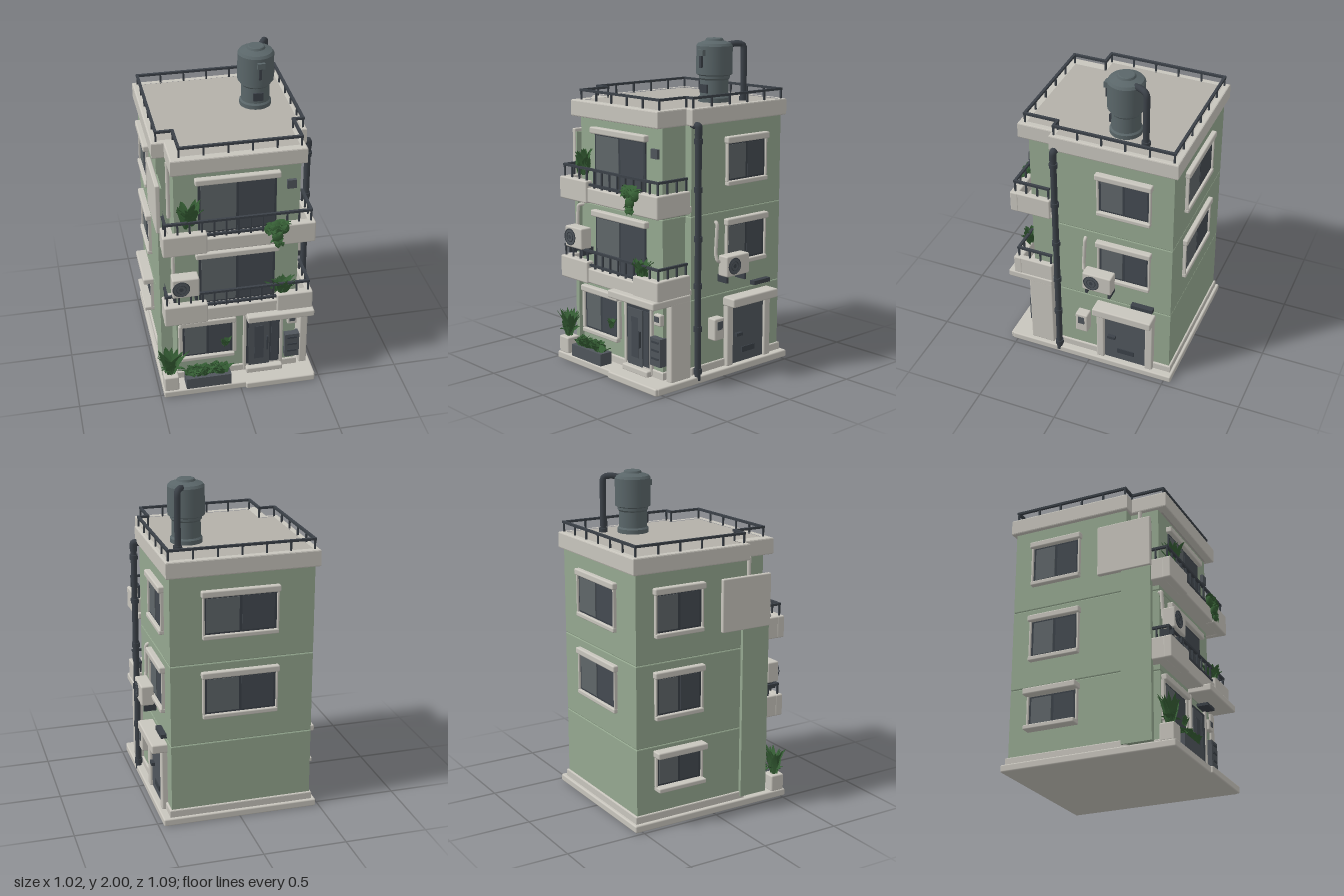
import * as THREE from 'three';
import { RoundedBoxGeometry } from 'three/addons/geometries/RoundedBoxGeometry.js';
import { mergeGeometries } from 'three/addons/utils/BufferGeometryUtils.js';

const mat = (name, color, side = THREE.FrontSide) => {
  const m = new THREE.MeshStandardMaterial({ color, side });
  m.name = name;
  return m;
};

export function createModel() {
  const root = new THREE.Group();
  root.name = 'apartmentBuilding';
  const wall = mat('green plaster', 0x95a890), trim = mat('pale concrete', 0xc8c5bd), roof = mat('roof grey', 0xb3b0a9);
  const metal = mat('dark metal', 0x3b4148), tankMat = mat('slate tank', 0x5a6669), door = mat('door grey', 0x50565c);
  const glass = mat('glass', 0x5f6669), dark = mat('dark glass', 0x444a51);
  const leafMat = mat('leaf green', 0x365f35, THREE.DoubleSide);

  const add = (name, geo, m, parent = root) => {
    const mesh = new THREE.Mesh(geo, m);
    mesh.name = name;
    parent.add(mesh);
    return mesh;
  };
  // Box given by its limits; concrete gets softened edges
  const box = (name, m, x0, x1, y0, y1, z0, z1, parent = root) => {
    const w = x1 - x0, h = y1 - y0, d = z1 - z0, r = Math.min(0.009, w / 4, h / 4, d / 4);
    const geo = m === trim ? new RoundedBoxGeometry(w, h, d, 2, r) : new THREE.BoxGeometry(w, h, d);
    geo.translate((x0 + x1) / 2, (y0 + y1) / 2, (z0 + z1) / 2);
    return add(name, geo, m, parent);
  };
  const cyl = (name, m, r, x, y0, y1, z) =>
    add(name, new THREE.CylinderGeometry(r, r, y1 - y0, 16).translate(x, (y0 + y1) / 2, z), m);
  const group = (name, x, y, z, ry = 0) => {
    const g = new THREE.Group();
    g.name = name;
    g.position.set(x, y, z);
    g.rotation.y = ry;
    root.add(g);
    return g;
  };
  const tube = (name, m, r, pts) => {
    const curve = new THREE.CatmullRomCurve3(pts.map(p => new THREE.Vector3(...p)), false, 'catmullrom', 0.2);
    return add(name, new THREE.TubeGeometry(curve, 32, r, 10), m);
  };

  // Plan outline with a narrower front bay
  const outline = (x0, x1, z0, bay0, bay1, step, z1) =>
    [[x0, z0], [x1, z0], [x1, step], [bay1, step], [bay1, z1], [bay0, z1], [bay0, step], [x0, step]];
  const plan = g => outline(-0.445 - g, 0.415 + g, -0.515 - g, -0.375 - g, 0.365 + g, 0.225 + g / 2, 0.4 + g);
  const slab = (name, m, pts, y0, y1, b, hole) => {
    const v = p => p.map(([x, z]) => new THREE.Vector2(x, -z));
    const shape = new THREE.Shape(v(pts));
    if (hole) shape.holes.push(new THREE.Path(v(hole)));
    const geo = new THREE.ExtrudeGeometry(shape, { depth: y1 - y0 - 2 * b, bevelEnabled: b > 0,
      bevelSize: b, bevelThickness: b, bevelOffset: -b, bevelSegments: 2 });
    return add(name, geo.rotateX(-Math.PI / 2).translate(0, y0 + b, 0), m);
  };

  // Base, storeys, parapet and roof
  box('plinth', trim, -0.48, 0.47, 0, 0.045, -0.545, 0.53);
  slab('baseBand', trim, plan(0.012), 0.03, 0.09, 0.006);
  [[0.06, 0.5], [0.5, 1], [1, 1.56]].forEach(([a, b], i) => slab('storey' + (i + 1), wall, plan(0), a, b, 0.006));
  box('leftFinWall', wall, -0.468, -0.438, 0.06, 1.42, 0.2, 0.385);
  const roofLine = outline(-0.44, 0.418, -0.51, -0.343, 0.36, 0.215, 0.42);
  slab('parapet', trim, outline(-0.47, 0.438, -0.54, -0.398, 0.388, 0.24, 0.458), 1.53, 1.63, 0.008, roofLine);
  slab('roofDeck', roof, roofLine, 1.53, 1.625, 0);

  // Handrail along axis-aligned points with upright bars and an optional lower rail
  const railing = (name, pts, y0, y1, gap, low) => {
    const g = group(name, 0, 0, 0), t = 0.008;
    for (let i = 0; i + 1 < pts.length; i++) {
      const [ax, az] = pts[i], [bx, bz] = pts[i + 1];
      for (const y of low ? [y1, low] : [y1])
        box('rail', metal, Math.min(ax, bx) - t, Math.max(ax, bx) + t, y - 0.014, y, Math.min(az, bz) - t, Math.max(az, bz) + t, g);
      const n = Math.max(1, Math.round(Math.hypot(bx - ax, bz - az) / gap));
      for (let k = 0; k <= n; k++) {
        const x = ax + (bx - ax) * k / n, z = az + (bz - az) * k / n;
        box('bar', metal, x - 0.005, x + 0.005, y0, y1 - 0.01, z - 0.005, z + 0.005, g);
      }
    }
  };
  railing('roofRailing', [...roofLine, roofLine[0]], 1.615, 1.695, 0.14);

  // Balconies wrapping the bay
  [[0.53, 0.665, 0.735], [1.025, 1.16, 1.238]].forEach(([y0, y1, top], i) => {
    const n = 'balcony' + (i + 1);
    box(n + 'Floor', trim, -0.45, 0.43, y0 + 0.005, y0 + 0.045, 0.23, 0.49);
    box(n + 'FrontMiddle', trim, -0.21, 0.24, y0 + 0.005, y1 - 0.04, 0.455, 0.498);
    box(n + 'FrontLeft', trim, 0.22, 0.44, y0, y1, 0.455, 0.508);
    box(n + 'FrontRight', trim, -0.46, -0.2, y0, y1, 0.455, 0.508);
    box(n + 'SideLeft', trim, 0.4, 0.438, y0, y1, 0.25, 0.5);
    box(n + 'SideRight', trim, -0.458, -0.42, y0, y1, 0.25, 0.5);
    railing(n + 'Railing', [[-0.44, 0.265], [-0.44, 0.48], [0.415, 0.48], [0.415, 0.265]], y1 - 0.04, top, 0.07, y1 - 0.015);
  });

  // Sliding window: local +z points out of the wall
  const windowUnit = (name, x, y, z, ry, w, h, jamb = 0.012, out = 0.035) => {
    const g = group(name, x, y, z, ry), a = w / 2;
    box('frame', metal, -a, a, 0, h, -0.01, 0.008, g);
    box('paneLeft', glass, -a + 0.014, -0.008, 0.014, h - 0.014, 0, 0.011, g);
    box('paneRight', dark, 0.008, a - 0.014, 0.014, h - 0.014, 0, 0.0095, g);
    box('lintel', trim, -a - 0.02, a + 0.02, h - 0.004, h + 0.036, -0.01, out, g);
    box('sill', trim, -a - 0.012, a + 0.012, -0.025, 0.003, -0.01, out - 0.005, g);
    if (jamb) for (const s of [-1, 1])
      box('jamb', trim, s * (a + jamb / 2) - jamb / 2, s * (a + jamb / 2) + jamb / 2, 0, h, -0.01, 0.02, g);
  };
  const R = Math.PI / 2;
  windowUnit('frontWindowTop', -0.005, 1.1, 0.4, 0, 0.46, 0.34, 0);
  windowUnit('frontWindowMiddle', -0.005, 0.6, 0.4, 0, 0.46, 0.335, 0);
  windowUnit('frontWindowGround', -0.187, 0.205, 0.4, 0, 0.31, 0.24, 0.025);
  for (const y of [1.175, 0.685]) {
    windowUnit('rightSideWindow', 0.415, y, -0.215, R, 0.31, 0.232);
    windowUnit('backWindow', 0, y, -0.515, Math.PI, 0.43, 0.232, 0.012, 0.03);
    windowUnit('leftSideWindow', -0.445, y, -0.235, -R, 0.3, 0.232);
  }
  windowUnit('leftSideWindowGround', -0.445, 0.25, -0.235, -R, 0.3, 0.19, 0.012, 0.065);

  // Front entrance
  box('entranceStep', trim, 0.03, 0.465, 0, 0.045, 0.4, 0.545);
  box('entranceUpperStep', trim, 0.05, 0.28, 0.04, 0.08, 0.38, 0.45);
  box('entranceCanopy', trim, 0.035, 0.445, 0.505, 0.55, 0.25, 0.545);
  box('entrancePier', trim, 0.395, 0.445, 0.04, 0.52, 0.25, 0.405);
  box('doorBack', metal, 0.055, 0.265, 0.08, 0.45, 0.39, 0.41);
  box('frontDoor', door, 0.07, 0.2, 0.08, 0.43, 0.4, 0.417);
  box('doorSidelight', dark, 0.212, 0.255, 0.09, 0.43, 0.4, 0.414);
  box('doorInset', dark, 0.105, 0.165, 0.13, 0.38, 0.41, 0.42);
  box('doorHandle', metal, 0.18, 0.19, 0.2, 0.3, 0.415, 0.432);
  for (const x of [0.035, 0.265]) box('doorJamb', trim, x, x + 0.02, 0.05, 0.5, 0.39, 0.418);
  box('doorLamp', metal, 0.17, 0.28, 0.472, 0.49, 0.4, 0.47);
  box('mailbox', door, 0.295, 0.385, 0.13, 0.3, 0.39, 0.44);
  for (const y of [0.17, 0.22, 0.27]) box('mailSlot', metal, 0.31, 0.37, y, y + 0.012, 0.43, 0.444);
  box('intercom', trim, 0.31, 0.37, 0.37, 0.44, 0.39, 0.425);
  box('intercomScreen', door, 0.322, 0.358, 0.395, 0.428, 0.42, 0.429);
  box('wallVent', door, 0.285, 0.34, 1.35, 1.405, 0.39, 0.42);

  // Side service door
  const side = group('serviceDoor', 0.415, 0, -0.23, R);
  box('surroundTop', trim, -0.19, 0.19, 0.42, 0.475, -0.01, 0.093, side);
  for (const s of [-0.16, 0.16]) box('surroundSide', trim, s - 0.025, s + 0.025, 0.04, 0.43, -0.01, 0.035, side);
  box('panel', door, -0.136, 0.136, 0.04, 0.422, -0.01, 0.018, side);
  box('vent', metal, -0.05, 0.06, 0.1, 0.135, 0.01, 0.024, side);
  box('handle', metal, -0.11, -0.06, 0.215, 0.235, 0.01, 0.04, side);
  box('sideLamp', metal, 0.41, 0.45, 0.51, 0.535, -0.41, -0.27);
  box('meterBox', trim, 0.41, 0.475, 0.235, 0.37, 0.005, 0.085);
  box('meterWindow', door, 0.47, 0.479, 0.3, 0.35, 0.025, 0.065);

  // Air conditioners
  const airConditioner = (name, x, y, z, ry, w, h, d) => {
    const g = group(name, x, y, z, ry);
    box('casing', trim, -w / 2, w / 2, 0, h, 0, d, g);
    add('fan', new THREE.CircleGeometry(h * 0.38, 24).translate(-w * 0.18, h / 2, d + 0.002), door, g);
    for (const r of [0.38, 0.22]) add('fanRing', new THREE.TorusGeometry(h * r, 0.003, 6, 24).translate(-w * 0.18, h / 2, d + 0.003), metal, g);
    add('fanHub', new THREE.CircleGeometry(h * 0.1, 12).translate(-w * 0.18, h / 2, d + 0.005), metal, g);
    for (const s of [-1, 1]) box('bracket', metal, s * w * 0.4 - 0.008, s * w * 0.4 + 0.008, -0.04, 0.005, -0.02, d * 0.8, g);
  };
  airConditioner('sideAirConditioner', 0.43, 0.62, -0.073, R, 0.185, 0.125, 0.078);
  airConditioner('balconyAirConditioner', -0.33, 0.73, 0.43, 0, 0.16, 0.13, 0.08);
  tube('sideConduit', trim, 0.011, [[0.44, 0.7, 0], [0.44, 0.715, 0.035], [0.43, 0.76, 0.04], [0.43, 0.93, 0.03], [0.41, 0.945, 0.03]]);
  tube('balconyConduit', trim, 0.011, [[-0.39, 0.8, 0.43], [-0.39, 0.97, 0.42], [-0.36, 0.985, 0.39]]);

  // Drainpipe, edge pipe and left side board
  cyl('drainpipe', metal, 0.019, 0.455, 0.02, 1.52, 0.207);
  tube('drainElbow', metal, 0.022, [[0.455, 1.48, 0.207], [0.455, 1.53, 0.207], [0.405, 1.535, 0.207]]);
  for (const y of [0.06, 0.32, 0.58, 0.86, 1.15, 1.43]) cyl('pipeCollar', metal, 0.025, 0.455, y, y + 0.03, 0.207);
  cyl('edgePipe', trim, 0.012, -0.39, 1.16, 1.53, 0.29);
  box('sideBoard', trim, -0.478, -0.45, 1.12, 1.44, 0.05, 0.39);

  // Roof water tank; each profile point is doubled to keep its edge crisp
  const tank = group('waterTank', 0.217, 0, -0.145);
  const profile = [[0.095, 1.62], [0.095, 1.65], [0.086, 1.66], [0.084, 1.755], [0.092, 1.765], [0.092, 1.78], [0.108, 1.788],
    [0.108, 1.955], [0.098, 1.97], [0.055, 1.985], [0.05, 1.997], [0.043, 2], [0.001, 2]];
  add('tankBody', new THREE.LatheGeometry(profile.flatMap(([r, y]) =>
    [new THREE.Vector2(r, y), new THREE.Vector2(r - 1e-5, y)]), 32), tankMat, tank);
  box('tankGauge', tankMat, -0.015, 0.03, 1.9, 1.935, 0.09, 0.125, tank);
  box('tankGaugeStem', metal, -0.005, 0.012, 1.83, 1.9, 0.1, 0.12, tank);
  box('tankHatch', metal, -0.03, 0.03, 1.68, 1.73, 0.07, 0.092, tank);
  tube('tankPipe', metal, 0.019, [[0.308, 1.62, -0.3], [0.308, 1.93, -0.3], [0.303, 1.962, -0.29], [0.28, 1.965, -0.25], [0.25, 1.955, -0.2]]);
  cyl('tankPipeFoot', metal, 0.026, 0.308, 1.62, 1.65, -0.3);

  // Plants: arched leaves fanned around a centre, shallow from front to back
  let seed = 7;
  const rnd = () => (seed = (seed * 16807) % 2147483647) / 2147483647;
  const leaf = (len, w, tilt, turn, droop) => {
    const g = new THREE.PlaneGeometry(1, 1, 2, 5), p = g.attributes.position;
    for (let i = 0; i < p.count; i++) {
      const t = p.getY(i) + 0.5, u = p.getX(i), a = tilt + droop * t;
      p.setXYZ(i, u * w * Math.sin(Math.PI * (0.12 + 0.88 * t)) * 2, t * len * Math.cos(a) + Math.abs(u) * w * 0.4, t * len * Math.sin(a));
    }
    g.rotateY(turn).scale(1, 1, 0.6);
    g.computeVertexNormals();
    return g;
  };
  const plant = (name, x, y, z, n, len, w, sx, sz, tilt, droop, sy = 0.02) => {
    const parts = [];
    for (let i = 0; i < n; i++)
      parts.push(leaf(len * (0.7 + 0.3 * rnd()), w, tilt * (0.2 + 0.8 * rnd()), i * 2.4, droop)
        .translate(x + (rnd() - 0.5) * sx, y + (rnd() - 0.5) * sy, z + (rnd() - 0.5) * sz));
    add(name, mergeGeometries(parts), leafMat);
  };
  box('cornerPot', trim, -0.475, -0.385, 0.04, 0.145, 0.43, 0.52);
  plant('cornerPlant', -0.43, 0.135, 0.475, 26, 0.2, 0.026, 0.03, 0.03, 0.35, 0.25);
  plant('cornerPlantSkirt', -0.43, 0.16, 0.475, 10, 0.1, 0.024, 0.02, 0.02, 0.9, 0.4);
  box('planter', door, -0.34, -0.06, 0.045, 0.12, 0.44, 0.525);
  plant('planterBush', -0.2, 0.12, 0.485, 120, 0.07, 0.024, 0.24, 0.05, 0.7, 0.4, 0.03);
  plant('topBalconyPlant', -0.295, 1.2, 0.455, 30, 0.15, 0.026, 0.05, 0.03, 0.45, 0.3, 0.05);
  plant('middleBalconyPlant', 0.25, 0.66, 0.47, 30, 0.12, 0.026, 0.07, 0.03, 0.6, 0.3, 0.03);
  plant('entryWindowPlant', -0.08, 0.265, 0.42, 14, 0.075, 0.016, 0.03, 0.01, 0.5, 0.3);
  const bush = (x, y, z, r) => add('hangingPlant', new THREE.IcosahedronGeometry(r, 1).scale(1, 1, 0.6).translate(x, y, z), leafMat);
  [[0.2, 1.15, 0.505, 0.045], [0.165, 1.145, 0.505, 0.035], [0.245, 1.14, 0.505, 0.038], [0.21, 1.095, 0.515, 0.035],
    [0.215, 1.05, 0.52, 0.022]].forEach(b => bush(...b));
  plant('hangingLeaves', 0.205, 1.15, 0.51, 40, 0.06, 0.025, 0.1, 0.015, 1.1, 1, 0.05);
  plant('hangingTrail', 0.213, 1.09, 0.52, 24, 0.04, 0.022, 0.03, 0.01, 1.6, 1.2, 0.1);
  return root;
}
